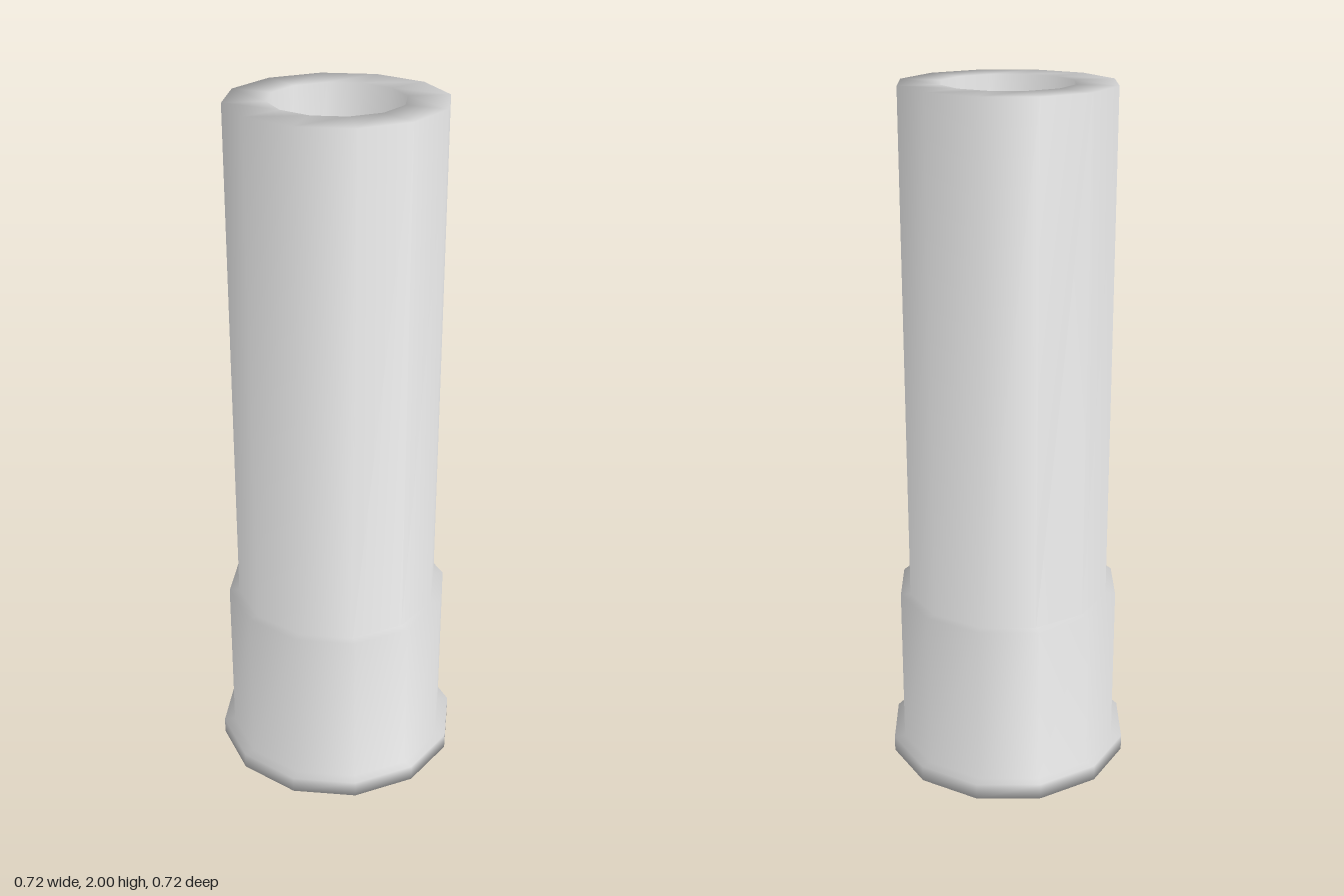
import * as THREE from 'three';

const SIDES = 12;

// Smooth revolved solid from rings [radius, height, outward normal, upward normal],
// closed at both ends by flat fans that share the ring normals
function turned(rings) {
  const positions = [], normals = [], index = [];
  rings.forEach(([r, y, out, up], j) => {
    for (let i = 0; i < SIDES; i++) {
      const a = (i / SIDES) * Math.PI * 2;
      const n = new THREE.Vector3(out * Math.sin(a), up, out * Math.cos(a)).normalize();
      positions.push(r * Math.sin(a), y, r * Math.cos(a));
      normals.push(n.x, n.y, n.z);
      if (j > 0) {
        const next = (i + 1) % SIDES, low = (j - 1) * SIDES, high = j * SIDES;
        index.push(low + i, low + next, high + next, low + i, high + next, high + i);
      }
    }
  });
  const last = (rings.length - 1) * SIDES;
  for (let i = 1; i < SIDES - 1; i++) {
    index.push(0, i + 1, i);                       // underside
    index.push(last, last + i, last + i + 1);      // bore floor
  }
  const geo = new THREE.BufferGeometry();
  geo.setAttribute('position', new THREE.Float32BufferAttribute(positions, 3));
  geo.setAttribute('normal', new THREE.Float32BufferAttribute(normals, 3));
  geo.setIndex(index);
  return geo;
}

export function createModel() {
  const group = new THREE.Group();
  group.name = 'hollowCasing';

  // Normals blend wall and ledge by corner angle: ledges meet their outer
  // edge at a narrower corner than their inner edge
  const WALL = 1.16, OUTER = 1, INNER = 1.4;
  const rings = [
    [0.36, 0, WALL, -OUTER], [0.36, 0.047, WALL, OUTER],     // base flange
    [0.328, 0.047, WALL, INNER], [0.328, 0.53, WALL, OUTER], // wide collar
    [0.299, 0.53, WALL, INNER], [0.299, 2, WALL, OUTER],     // main tube
    [0.185, 2, -WALL, INNER], [0.185, 1.4, -WALL, OUTER],    // flat rim and bore
  ];
  const casing = new THREE.Mesh(
    turned(rings),
    new THREE.MeshStandardMaterial({ color: 0xcccccc })
  );
  casing.name = 'casing';
  group.add(casing);
  return group;
}
